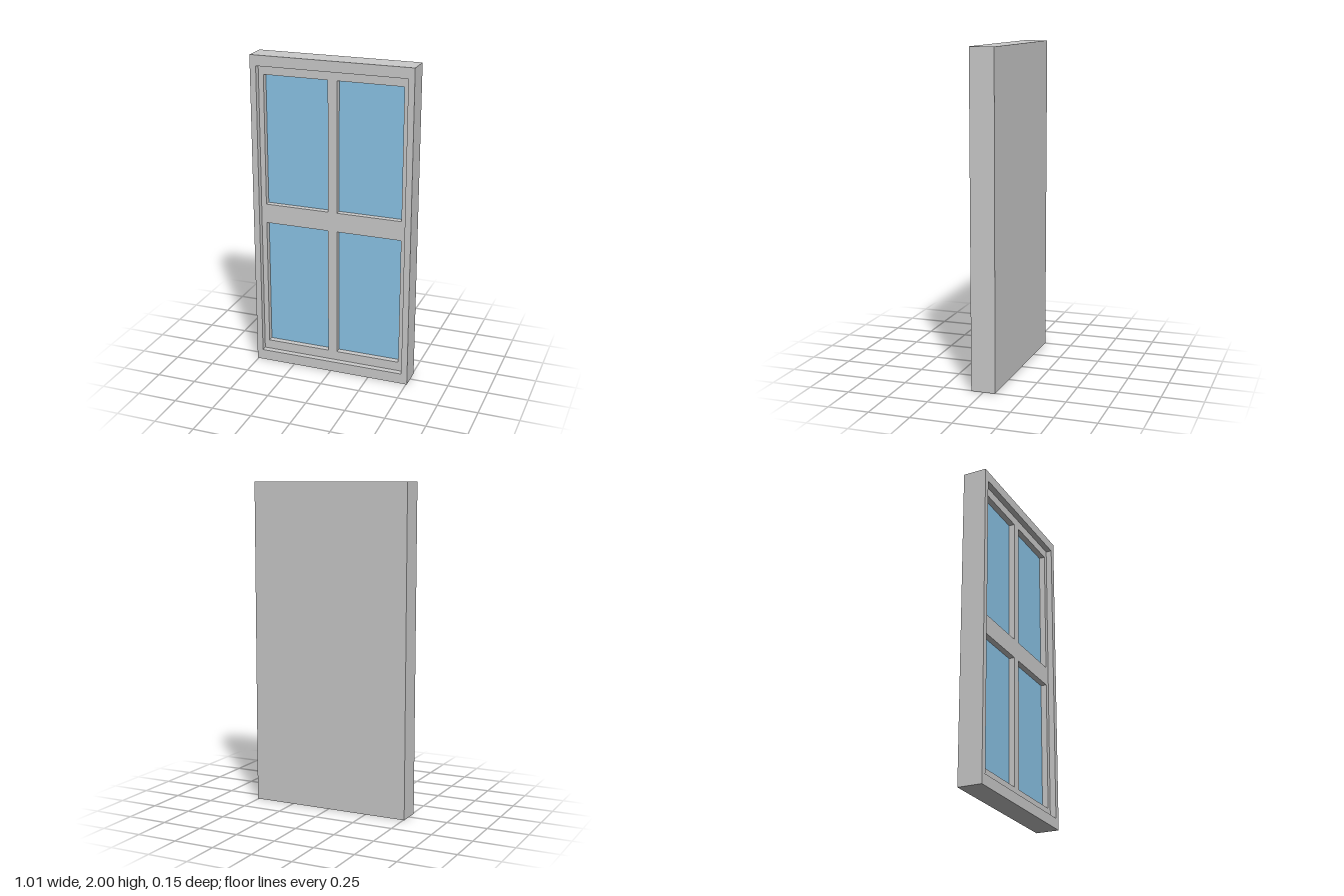
import * as THREE from 'three';

const W = 0.506, H = 2, D = 0.074;   // half width, height, half depth
const SASH_FRONT = 0.037, GLASS_FRONT = 0, BACK = -0.01;

// Corner points of a rectangle
const rect = (x0, y0, x1, y1) => [[x0, y0], [x1, y0], [x1, y1], [x0, y1]].map(([x, y]) => new THREE.Vector2(x, y));

// Flat slab with rectangular openings, between two depths
function slab(name, outline, openings, z0, z1, material) {
  const shape = new THREE.Shape(rect(...outline));
  for (const o of openings) shape.holes.push(new THREE.Path(rect(...o)));
  const geometry = new THREE.ExtrudeGeometry(shape, { depth: z1 - z0, bevelEnabled: false });
  geometry.translate(0, 0, z0);
  const mesh = new THREE.Mesh(geometry, material);
  mesh.name = name;
  return mesh;
}

export function createModel() {
  const group = new THREE.Group();
  group.name = 'window';
  const grey = new THREE.MeshStandardMaterial({ color: 0xcccccc });
  const blue = new THREE.MeshStandardMaterial({ color: 0x8cc5e8 });

  const outer = [-W, 0, W, H];
  const opening = [-0.468, 0.066, 0.468, 1.935];

  // Two columns by two rows of panes
  const panes = [];
  for (const [x0, x1] of [[-0.436, -0.029], [0.029, 0.436]])
    for (const [y0, y1] of [[0.124, 0.94], [1.062, 1.878]]) panes.push([x0, y0, x1, y1]);

  // Solid back and outer frame
  group.add(slab('backPanel', outer, [], -D, BACK, grey));
  group.add(slab('outerFrame', outer, [opening], BACK, D, grey));

  // Recessed sash with its cross bars
  group.add(slab('sash', opening, panes, BACK, SASH_FRONT, grey));

  // Glass set deeper inside the sash
  for (const p of panes) group.add(slab('glassPane', p, [], BACK, GLASS_FRONT, blue));

  return group;
}
